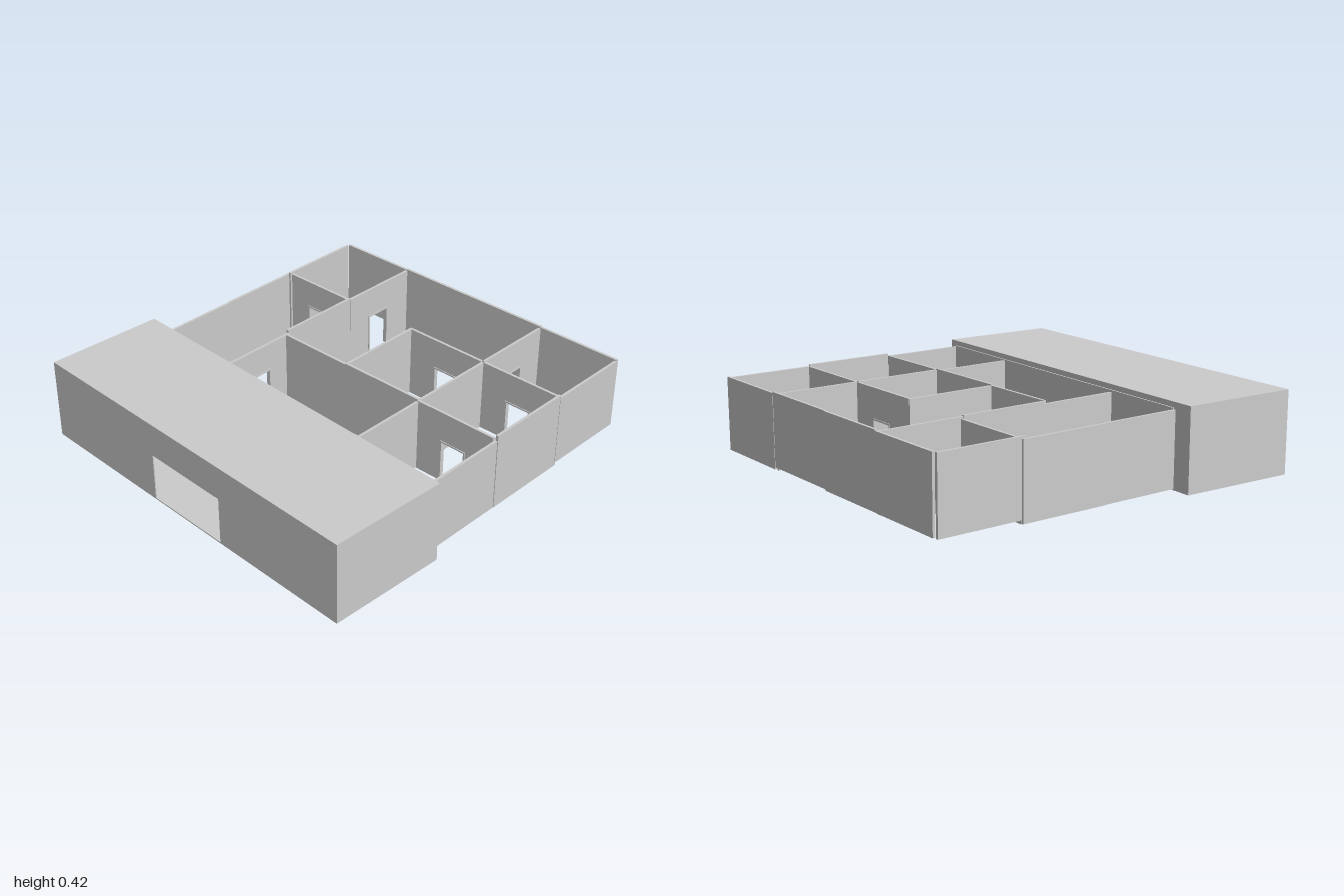
import * as THREE from 'three';

const grey = new THREE.MeshStandardMaterial({ color: 0xcccccc, side: THREE.DoubleSide, flatShading: true });
const T = 0.014; // wall thickness

// Upright panel from (x1,z1) to (x2,z2); door = { at, width, top } cuts a notch from the bottom edge
function panel(name, x1, z1, x2, z2, y0, y1, door, thick = T) {
  const len = Math.hypot(x2 - x1, z2 - z1);
  const pts = [[0, y0]];
  if (door) {
    const a = door.at - door.width / 2, b = door.at + door.width / 2;
    pts.push([a, y0], [a, door.top], [b, door.top], [b, y0]);
  }
  pts.push([len, y0], [len, y1], [0, y1]);
  const geo = new THREE.ExtrudeGeometry(
    new THREE.Shape(pts.map(p => new THREE.Vector2(...p))), { depth: thick, bevelEnabled: false });
  geo.translate(0, 0, -thick / 2);
  const mesh = new THREE.Mesh(geo, grey);
  mesh.name = name;
  mesh.position.set(x1, 0, z1);
  mesh.rotation.y = Math.atan2(z1 - z2, x2 - x1);
  return mesh;
}

// Thin trim around a doorway, slightly proud of the wall
function doorFrame(wall, door, y0) {
  const a = door.at - door.width / 2, b = door.at + door.width / 2, w = 0.008, t = door.top;
  const pts = [[a - w, y0], [a, y0], [a, t], [b, t], [b, y0], [b + w, y0], [b + w, t + w], [a - w, t + w]];
  const geo = new THREE.ExtrudeGeometry(
    new THREE.Shape(pts.map(p => new THREE.Vector2(...p))), { depth: T + 0.008, bevelEnabled: false });
  geo.translate(0, 0, -T / 2 - 0.004);
  const mesh = new THREE.Mesh(geo, grey);
  mesh.name = 'doorFrame';
  wall.add(mesh);
}

export function createModel() {
  const model = new THREE.Group();
  model.name = 'floorPlanBuilding';

  // Long hollow hall, slightly turned, open on both long sides
  const hall = new THREE.Group();
  hall.name = 'hall';
  const W = 0.606, L = 1.946, Y0 = 0.012, Y1 = 0.424, t = 0.006;
  const hx = W / 2 - t / 2, hz = L / 2 - t / 2;
  for (const [name, y] of [['hallFloor', Y0 + t / 2], ['hallRoof', Y1 - t / 2]]) {
    const slab = new THREE.Mesh(new THREE.BoxGeometry(W, t, L), grey);
    slab.name = name;
    slab.position.y = y;
    hall.add(slab);
  }
  const gate = { at: L / 2, width: 0.46, top: 0.255 };
  for (const s of [-1, 1]) {
    hall.add(panel('hallSide', s * hx, -L / 2, s * hx, L / 2, Y0 + t, Y1 - t, gate, t));
    hall.add(panel('hallEnd', -hx, s * hz, hx, s * hz, Y0 + t, Y1 - t, null, t));
  }
  hall.position.set(-0.6575, 0, -0.003);
  hall.rotation.y = -0.0405;
  model.add(hall);

  // Lining wall along the hall with a wide low passage
  model.add(panel('hallLiningWall', -0.308, -0.86, -0.382, 0.925, 0.03, 0.4,
    { at: 0.87, width: 0.45, top: 0.17 }, 0.008));

  // Room walls: x1, z1, x2, z2, bottom, top, door centre along the wall
  const walls = [
    // front
    ['frontWall', -0.385, 0.928, 0.052, 0.928, 0.03, 0.395],
    ['frontWall', 0.068, 0.92, 0.535, 0.92, 0.018, 0.41],
    ['frontWall', 0.528, 0.922, 0.985, 0.922, 0.035, 0.4],
    // outer side
    ['sideWall', 0.986, 0.925, 0.986, 0.47, 0.035, 0.405],
    ['sideWall', 0.984, 0.47, 0.984, 0.005, 0.045, 0.41],
    ['sideWall', 0.986, 0.005, 0.986, -0.42, 0.04, 0.408],
    ['sideWall', 0.988, -0.42, 0.988, -0.845, 0.04, 0.403],
    // back
    ['backWall', -0.315, -0.86, 0.1, -0.86, 0.02, 0.39],
    ['backWall', 0.1, -0.864, 0.552, -0.864, 0.02, 0.39],
    ['backWall', 0.53, -0.853, 0.98, -0.853, 0.035, 0.4],
    // partitions across the width
    ['crossWall', -0.335, -0.417, 0.1, -0.417, 0, 0.39, 0.215],
    ['crossWall', 0.09, -0.424, 0.54, -0.424, 0.03, 0.405],
    ['crossWall', 0.54, -0.422, 0.98, -0.422, 0.03, 0.4, 0.21],
    ['crossWall', 0.07, 0.004, 0.54, 0.004, 0.03, 0.4],
    ['crossWall', -0.37, 0.464, 0.052, 0.464, 0.03, 0.395],
    ['crossWall', 0.068, 0.466, 0.525, 0.466, 0.03, 0.4],
    ['crossWall', 0.54, 0.464, 0.98, 0.464, 0.03, 0.4, 0.22],
    // partitions along the depth
    ['lengthWall', 0.548, -0.86, 0.548, -0.424, 0.018, 0.39, 0.21],
    ['lengthWall', 0.062, -0.4, 0.062, 0.004, 0.03, 0.4],
    ['lengthWall', 0.062, 0.004, 0.062, 0.464, 0.03, 0.405],
    ['lengthWall', 0.06, 0.464, 0.06, 0.91, 0.025, 0.4, 0.22],
    ['lengthWall', 0.534, 0.004, 0.534, 0.455, 0.03, 0.4, 0.235],
    ['lengthWall', 0.534, 0.47, 0.534, 0.922, 0.03, 0.4, 0.22],
  ];
  for (const [name, x1, z1, x2, z2, y0, y1, at] of walls) {
    const door = at && { at, width: 0.13, top: 0.24 };
    const wall = panel(name, x1, z1, x2, z2, y0, y1, door);
    if (door) doorFrame(wall, door, y0);
    model.add(wall);
  }
  return model;
}
